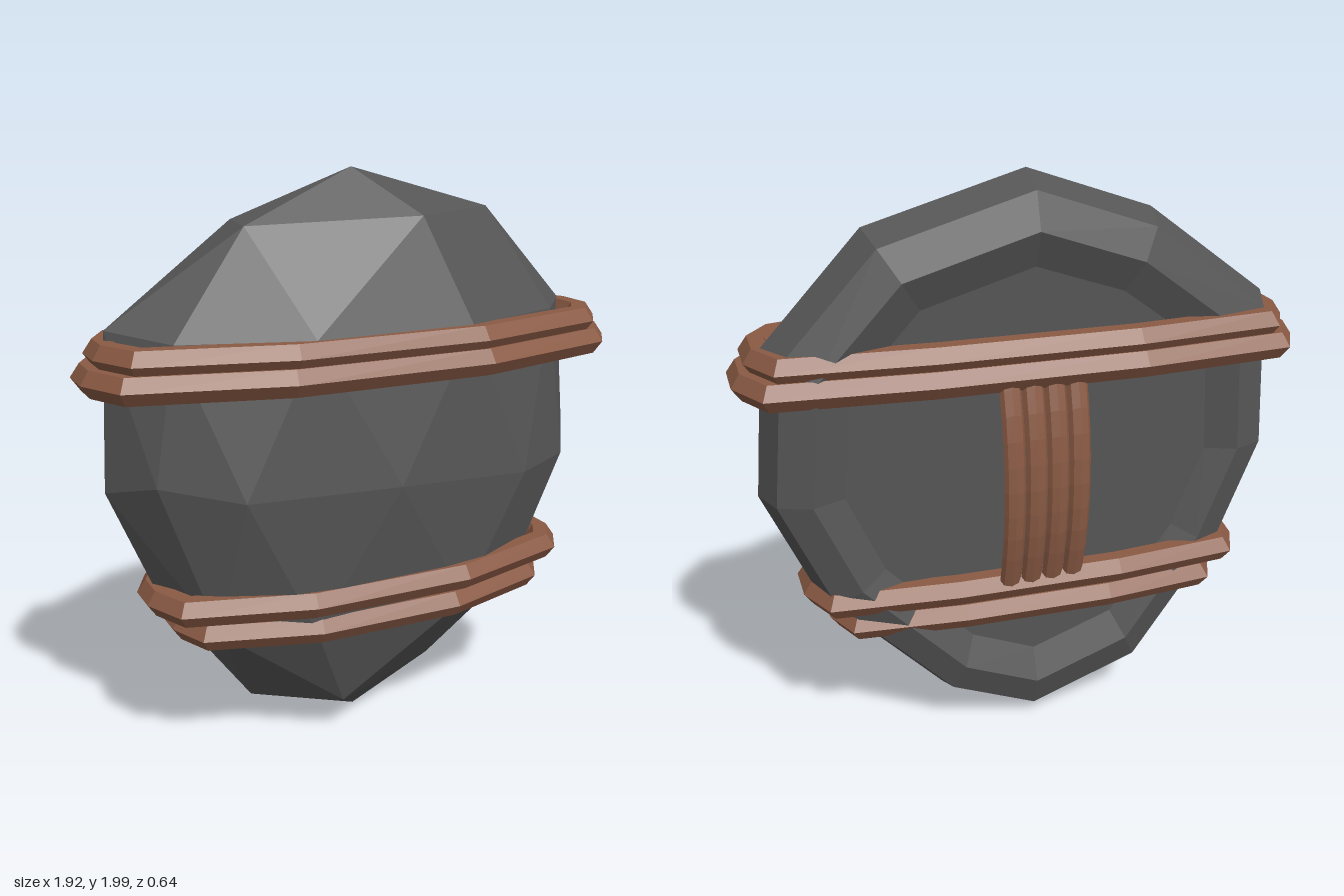
import * as THREE from 'three';
import { ConvexGeometry } from 'three/addons/geometries/ConvexGeometry.js';

const stone = new THREE.MeshStandardMaterial({ color: 0x555555, flatShading: true });
const leather = new THREE.MeshStandardMaterial({ color: 0x8a5a44, flatShading: true });

// Shield outline, clockwise from the tip
const outline = [
  [0, 2], [0.53, 1.85], [0.86, 1.5], [0.91, 1], [0.74, 0.6], [0.32, 0.15],
  [0, 0.01], [-0.41, 0.15], [-0.73, 0.6], [-0.89, 1], [-0.86, 1.53], [-0.43, 1.85],
];

// Facet corners of the domed front
const facets = [
  [0.17, 1.85, 0.12], [0.7, 1.5, 0.11], [0.78, 0.95, 0.11], [0.58, 0.5, 0.1], [-0.13, 0.15, 0.12],
  [-0.58, 0.5, 0.1], [-0.77, 1.05, 0.11], [-0.69, 1.5, 0.1], [-0.43, 1.84, 0.05],
  [0.3, 1.5, 0.24], [-0.27, 1.5, 0.24], [-0.52, 1, 0.24], [-0.28, 0.5, 0.23],
  [0.3, 0.5, 0.23], [0.53, 0.95, 0.24], [0, 1, 0.31],
];

// Outer path of a strap as x, z, running left to right along the front
const strapPath = [
  [-0.88, 0.16], [-0.36, 0.3], [0.34, 0.32], [0.87, 0.2], [0.96, 0.08], [0.96, -0.08],
  [0.88, -0.23], [0.35, -0.28], [-0.35, -0.3], [-0.88, -0.27], [-0.96, -0.13], [-0.96, 0],
];

// Strap cross-section: outward offset, height
const strapSection = [[0, 0], [-0.03, 0.045], [-0.08, 0.045], [-0.11, 0], [-0.08, -0.045], [-0.03, -0.045]];

function fromTriangles(points) {
  const geo = new THREE.BufferGeometry();
  geo.setAttribute('position', new THREE.Float32BufferAttribute(points.flat(), 3));
  geo.computeVertexNormals();
  return geo;
}

// Convex dome without its flat back
function domeGeometry() {
  const rim = outline.map(([x, y]) => [x, y, -0.07]);
  const hull = new ConvexGeometry([...rim, ...facets].map((p) => new THREE.Vector3(...p)));
  const pos = hull.attributes.position;
  const nor = hull.attributes.normal;
  const points = [];
  for (let i = 0; i < pos.count; i += 3) {
    if (nor.getZ(i) < -0.99) continue;
    for (let j = i; j < i + 3; j++) points.push([pos.getX(j), pos.getY(j), pos.getZ(j)]);
  }
  return fromTriangles(points);
}

// Bevelled rim, raised lip and recessed floor
function backGeometry() {
  const rings = [[1, -0.07], [0.95, -0.18], [0.83, -0.22], [0.71, -0.175]].map(([s, z]) =>
    outline.map(([x, y]) => [x * s, 1 + (y - 1) * s, z]));
  const points = [];
  const n = outline.length;
  for (let i = 0; i < n; i++) {
    const k = (i + 1) % n;
    for (let r = 0; r < 3; r++) {
      const a = rings[r], b = rings[r + 1];
      points.push(a[i], a[k], b[k], a[i], b[k], b[i]);
    }
    points.push(rings[3][i], rings[3][k], [0, 1, -0.175]);
  }
  return fromTriangles(points);
}

// Sweep the section around the scaled path
function strapGeometry(y, sx, sz) {
  const path = strapPath.map(([x, z]) => new THREE.Vector2(x * sx, z * sz));
  const n = path.length;
  const normal = (a, b) => new THREE.Vector2(a.y - b.y, b.x - a.x).normalize();
  const loops = path.map((p, i) => {
    const n1 = normal(path[(i + n - 1) % n], p);
    const n2 = normal(p, path[(i + 1) % n]);
    const m = n1.clone().add(n2).divideScalar(1 + n1.dot(n2));
    return strapSection.map(([o, h]) => [p.x + m.x * o, y + h, p.y + m.y * o]);
  });
  const points = [];
  for (let i = 0; i < n; i++) {
    const a = loops[i], b = loops[(i + 1) % n];
    for (let j = 0; j < 6; j++) {
      const k = (j + 1) % 6;
      points.push(a[j], b[j], b[k], a[j], b[k], a[k]);
    }
  }
  return fromTriangles(points);
}

export function createModel() {
  const group = new THREE.Group();
  const add = (name, geo, mat) => {
    const mesh = new THREE.Mesh(geo, mat);
    mesh.name = name;
    group.add(mesh);
  };

  add('shieldFront', domeGeometry(), stone);
  add('shieldBack', backGeometry(), stone);

  // Two pairs of wrapped straps
  add('upperStrapTop', strapGeometry(1.455, 0.955, 0.95), leather);
  add('upperStrapBottom', strapGeometry(1.38, 1, 1), leather);
  add('lowerStrapTop', strapGeometry(0.61, 0.825, 0.94), leather);
  add('lowerStrapBottom', strapGeometry(0.505, 0.74, 0.88), leather);

  // Grip of four flattened, bowed cords
  const flat = 0.5;
  for (let i = 0; i < 4; i++) {
    const x = -0.115 + i * 0.075;
    const curve = new THREE.CatmullRomCurve3(
      [[1.4, -0.235], [1.2, -0.285], [1, -0.302], [0.8, -0.285], [0.6, -0.235]]
        .map(([y, z]) => new THREE.Vector3(x, y, z / flat)));
    const cord = new THREE.TubeGeometry(curve, 10, 0.037, 8);
    cord.scale(1, 1, flat);
    add('gripCord' + (i + 1), cord, leather);
  }
  return group;
}
